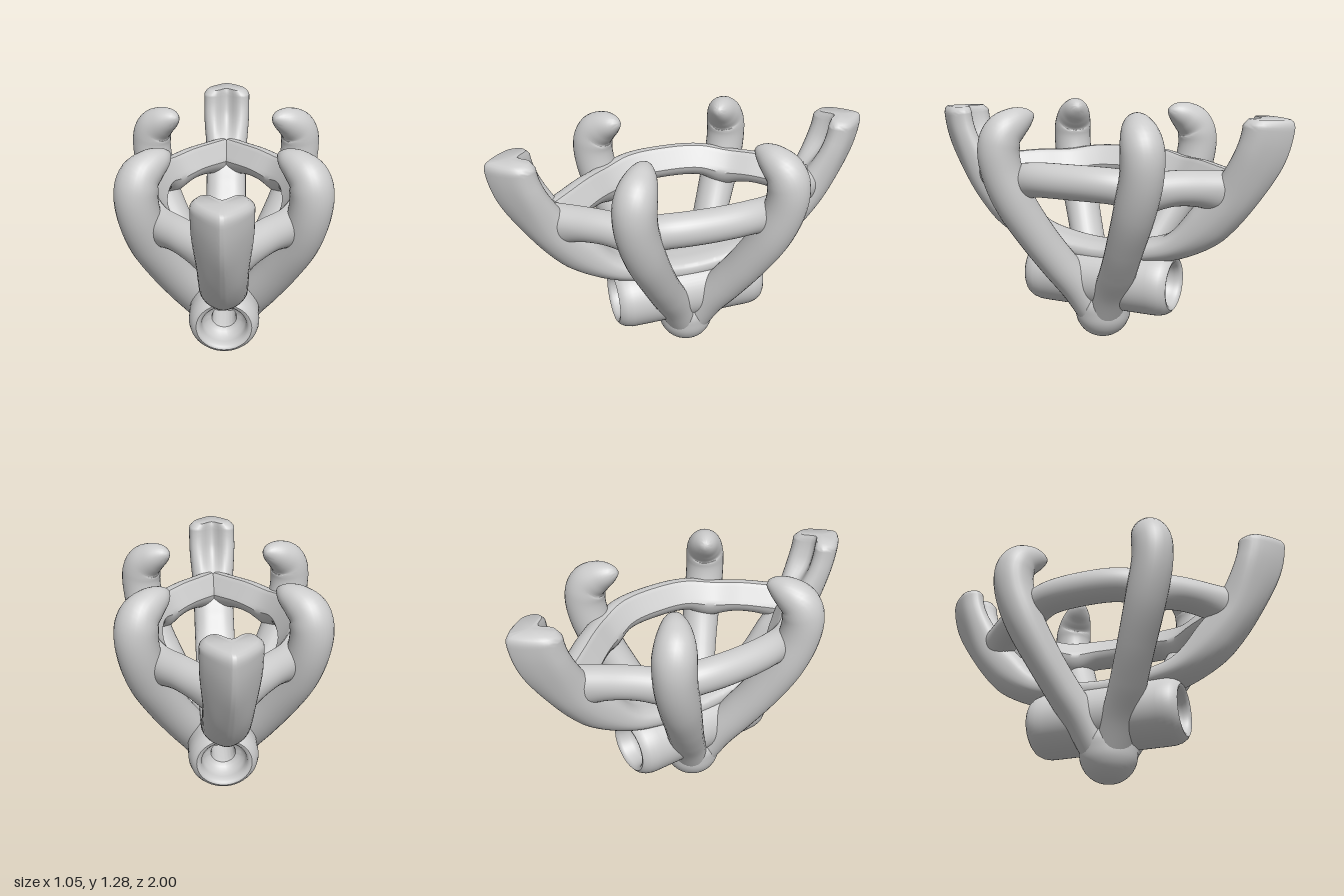
import * as THREE from 'three';
import { toCreasedNormals } from 'three/addons/utils/BufferGeometryUtils.js';

const material = new THREE.MeshStandardMaterial({ color: 0xcccccc });
const { lerp, smoothstep } = THREE.MathUtils;
const v3 = (p) => new THREE.Vector3(...p);
const mirrorZ = (points) => points.map(([x, y, z]) => [x, y, -z]).reverse();

// Sweeps a counter-clockwise section (u along ref, v = tangent x u) along a smooth path
function sweep(points, ref, steps, section, crease) {
  const curve = new THREE.CatmullRomCurve3(points.map(v3), false, 'centripetal');
  const pos = [], index = [];
  let n = 0;
  for (let i = 0; i <= steps; i++) {
    const t = i / steps;
    const c = curve.getPointAt(t), T = curve.getTangentAt(t);
    const U = v3(ref).addScaledVector(T, -v3(ref).dot(T)).normalize();
    const V = T.clone().cross(U);
    const loop = section(t, c);
    n = loop.length;
    for (const [u, v] of loop) {
      const p = c.clone().addScaledVector(U, u).addScaledVector(V, v);
      pos.push(p.x, p.y, p.z);
    }
  }
  for (let i = 0; i < steps; i++) {
    for (let j = 0; j < n; j++) {
      const a = i * n + j, b = i * n + (j + 1) % n;
      index.push(a, b, a + n, b, b + n, a + n);
    }
  }
  // end caps
  for (const end of [0, steps]) {
    const c = curve.getPointAt(end / steps), k = pos.length / 3;
    pos.push(c.x, c.y, c.z);
    for (let j = 0; j < n; j++) {
      const a = end * n + j, b = end * n + (j + 1) % n;
      if (end) index.push(k, a, b); else index.push(k, b, a);
    }
  }
  const g = new THREE.BufferGeometry();
  g.setAttribute('position', new THREE.Float32BufferAttribute(pos, 3));
  g.setIndex(index);
  return toCreasedNormals(g, crease);
}

const circle = (r, n = 28) => Array.from({ length: n }, (_, i) => {
  const a = (i / n) * Math.PI * 2;
  return [r * Math.cos(a), r * Math.sin(a)];
});

export function createModel() {
  const group = new THREE.Group();
  const add = (name, geometry) => {
    const mesh = new THREE.Mesh(geometry, material);
    mesh.name = name;
    group.add(mesh);
    return mesh;
  };

  // Rounded base that fills the crotch where the four claws meet
  const baseCurve = new THREE.SplineCurve([
    [0, 0], [0.06, 0.01], [0.112, 0.046], [0.143, 0.098], [0.153, 0.155],
    [0.153, 0.21], [0.125, 0.27], [0.07, 0.31], [0, 0.33],
  ].map(([r, y]) => new THREE.Vector2(r, y)));
  const basePoints = baseCurve.getPoints(32);
  basePoints.forEach((p) => { p.x = Math.max(0, p.x); });
  add('base', new THREE.LatheGeometry(basePoints, 40)).scale.x = 1.04;

  // Four claws, slightly oval low down, curling inward to tapered tips
  const clawPath = [
    [0.03, 0.14, 0.03], [0.105, 0.3, 0.1], [0.195, 0.45, 0.177], [0.285, 0.61, 0.252],
    [0.37, 0.8, 0.331], [0.41, 0.97, 0.38], [0.416, 1.08, 0.388], [0.398, 1.15, 0.372],
    [0.35, 1.195, 0.338], [0.3, 1.222, 0.305], [0.262, 1.238, 0.275],
  ];
  const clawSection = (t, c) => {
    const k = Math.max(0, (t - 0.82) / 0.18);
    const r = 0.106 * Math.sqrt(Math.max(0.02, 1 - Math.pow(k, 1.5)));
    const flat = lerp(0.88, 1, smoothstep(c.y, 0.5, 0.9));
    return circle(r).map(([u, v]) => [u, v * flat]);
  };
  for (const sx of [1, -1]) {
    for (const sz of [1, -1]) {
      const path = clawPath.map(([x, y, z]) => [x * sx, y, z * sz]);
      add('claw', sweep(path, [1, 0, 0], 90, clawSection, 1.2));
    }
  }

  // Keeled rail, thin over the barrel, rising at both ends into V-shaped end prongs
  const half = [
    [0, 0.508, 0.28], [0, 0.55, 0.42], [0, 0.645, 0.56], [0, 0.81, 0.71], [0, 1.0, 0.818],
    [0, 1.12, 0.864], [0, 1.2, 0.879], [0, 1.242, 0.88],
  ];
  const low = [[0, -0.1], [0.03, -0.093], [0.08, -0.062], [0.115, 0], [0.11, 0.085], [0.065, 0.122], [0, 0.128]];
  const high = [[0, -0.121], [0.025, -0.108], [0.085, -0.052], [0.135, 0.025], [0.122, 0.095], [0.075, 0.11], [0, 0.05]];
  const railSection = (t, c) => {
    const k = smoothstep(c.y, 0.8, 1.1);
    const thin = lerp(0.55, 1, smoothstep(c.y, 0.48, 0.7));
    const pts = low.map(([x, y], i) => [lerp(x, high[i][0], k), lerp(y, high[i][1], k) * thin]);
    const left = pts.slice(1, 6).reverse().map(([x, y]) => [-x, y]);
    const loop = new THREE.CatmullRomCurve3(
      [...pts, ...left].map(([x, y]) => new THREE.Vector3(x, y, 0)), true, 'centripetal');
    // rounded rim at the two tops
    const e = Math.max(0, 1 - Math.min(t, 1 - t) / 0.014);
    const s = 1 - 0.2 * e * e;
    return loop.getPoints(48).slice(0, 48).map((p) => [p.x * s, p.y * s]);
  };
  add('endProngRail', sweep([...mirrorZ(half), [0, 0.475, 0], ...half], [1, 0, 0], 220, railSection, 0.9));

  // Pointed-oval gallery in two arcs: sloping inner seat, deeper where it meets claws and prongs
  const arc = [[0.365, 0.922, 0.2], [0.297, 0.9, 0.352], [0.19, 0.903, 0.487], [0.1, 0.897, 0.59], [0.02, 0.89, 0.685]];
  const bump = (z, at, width) => Math.exp(-(((Math.abs(z) - at) / width) ** 2));
  const gallerySection = (t, c) => {
    const deep = 1 + 0.35 * bump(c.z, 0.34, 0.07) + 0.4 * bump(c.z, 0.68, 0.09);
    return circle(0.088, 36).map(([u, v]) => {
      const over = Math.max(0, u * 0.555 + v * 0.832 - 0.064);
      return [(u - over * 0.555) * (u < 0 ? deep : 1), v - over * 0.832];
    });
  };
  const gallery = sweep([...mirrorZ(arc), [0.385, 0.927, 0], ...arc], [0, 1, 0], 90, gallerySection, 0.6);
  add('galleryLeft', gallery);
  add('galleryRight', gallery).rotation.y = Math.PI;

  // Cross barrel with broad rounded ends and a stepped bore
  const rim = [
    [0.175, 0.31], [0.174, 0.345], [0.166, 0.378], [0.152, 0.402], [0.136, 0.414], [0.122, 0.41],
    [0.113, 0.397], [0.109, 0.375], [0.104, 0.345], [0.084, 0.322], [0.062, 0.31], [0.057, 0.29],
  ];
  const profile = [...rim.map(([r, z]) => [r, -z]).reverse(), ...rim, [0.057, -0.29]]
    .map(([r, z]) => new THREE.Vector2(r, z));
  const barrelGeometry = new THREE.LatheGeometry(profile, 56);
  barrelGeometry.rotateX(Math.PI / 2);
  const barrel = add('barrel', toCreasedNormals(barrelGeometry, 0.8));
  barrel.position.y = 0.343;
  barrel.scale.x = 1.05;

  return group;
}
